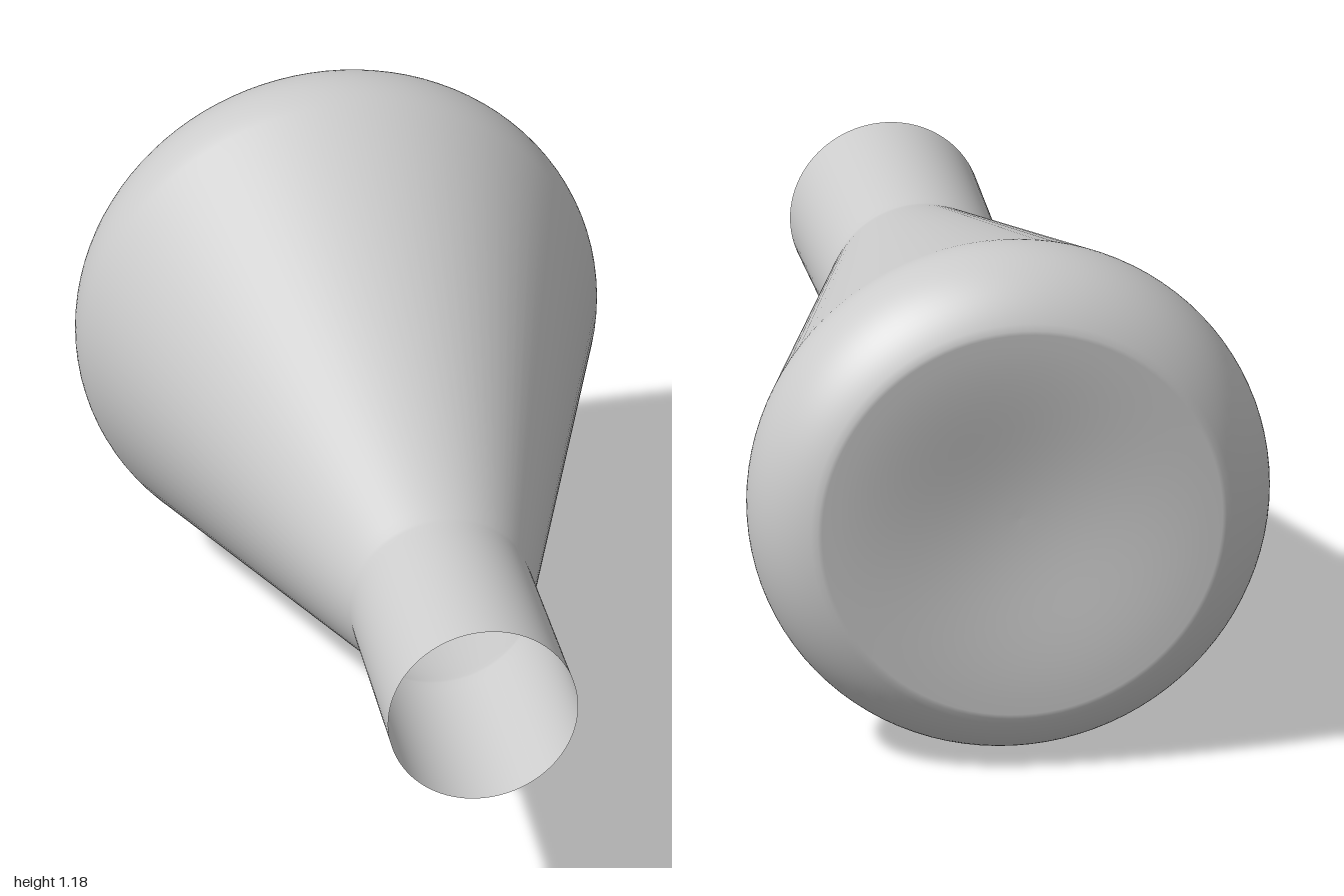
import * as THREE from 'three';

export function createModel() {
  const group = new THREE.Group();
  group.name = 'flask';
  const material = new THREE.MeshStandardMaterial({ color: 0xcccccc, side: THREE.DoubleSide });
  const maxRadius = 0.592;
  const profile = [];
  const add = (r, z) => profile.push(new THREE.Vector2(r, z));

  // Base: shallow dish, deepest in the middle
  const rim = 0.455, depth = 0.04;
  for (let i = 0; i <= 12; i++) {
    const t = i / 12;
    add(rim * t, -1 + depth * 0.5 * (1 + Math.cos(Math.PI * t)));
  }

  // Shoulder: rounded from the base rim to the cone
  const round = 0.237, centreZ = -0.79;
  const start = THREE.MathUtils.degToRad(-62.4), end = THREE.MathUtils.degToRad(17);
  for (let i = 0; i <= 20; i++) {
    const a = start + (end - start) * i / 20;
    add(maxRadius - round + round * Math.cos(a), centreZ + round * Math.sin(a));
  }

  // Cone, soft bend into the neck, and slightly flared open mouth
  add(0.569, -0.68);
  add(0.222, 0.455);
  add(0.212, 0.487);
  add(0.21, 0.5);
  add(0.2105, 0.53);
  add(0.217, 1);

  const body = new THREE.Mesh(new THREE.LatheGeometry(profile, 96), material);
  body.name = 'flaskBody';
  body.rotation.x = Math.PI / 2; // lay the axis along z, mouth to the front
  body.position.y = maxRadius;
  group.add(body);
  return group;
}
